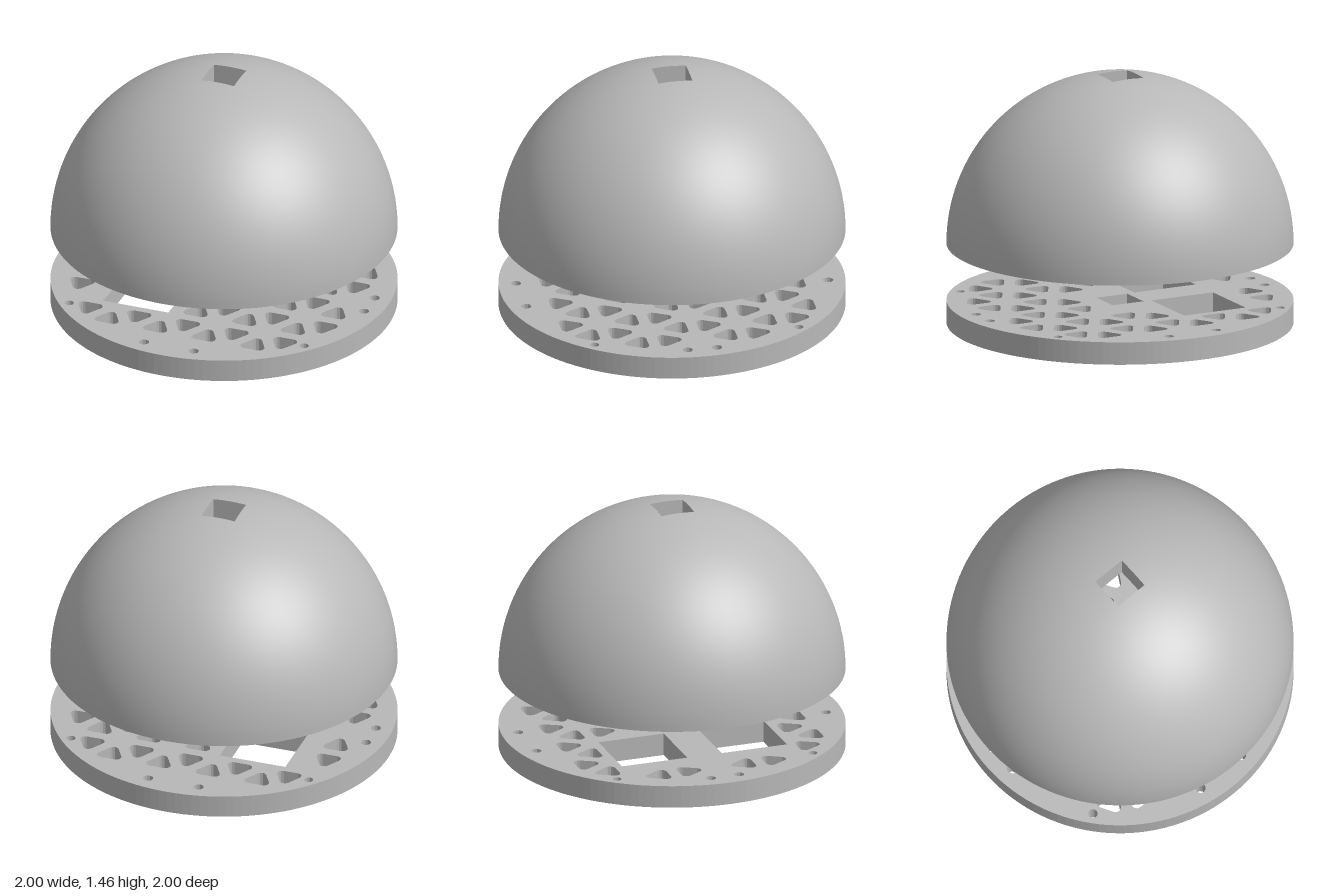
import * as THREE from 'three';
import { mergeVertices } from 'three/addons/utils/BufferGeometryUtils.js';

const grey = new THREE.MeshStandardMaterial({ color: 0xb8b8b8, side: THREE.DoubleSide });
grey.name = 'plain grey';

const SEG = 128;
const SCREW_R = 0.027;
const screws = [[0.725, 0.6], [-0.725, 0.6], [0.725, -0.6], [-0.725, -0.6]];

function add(group, name, geometry, y = 0) {
  const mesh = new THREE.Mesh(geometry, grey);
  mesh.name = name;
  mesh.position.y = y;
  group.add(mesh);
  return mesh;
}

function circle(x, y, r, n) {
  const pts = [];
  for (let i = 0; i < n; i++) {
    const a = (i / n) * Math.PI * 2;
    pts.push(new THREE.Vector2(x + r * Math.cos(a), y + r * Math.sin(a)));
  }
  return pts;
}

function square(x, y, half) {
  return [[-1, -1], [1, -1], [1, 1], [-1, 1]].map(([a, b]) => new THREE.Vector2(x + a * half, y + b * half));
}

// Triangle with rounded corners, one corner pointing along +y or -y
function roundedTriangle(x, y, up) {
  const pts = [];
  for (let k = 0; k < 3; k++) {
    const dir = (up ? 1 : -1) * Math.PI / 2 + (k * Math.PI * 2) / 3;
    for (let s = -2; s <= 2; s++) {
      const a = dir + (s * Math.PI) / 6;
      pts.push(new THREE.Vector2(
        x + 0.05 * Math.cos(dir) + 0.03 * Math.cos(a),
        y + 0.05 * Math.sin(dir) + 0.03 * Math.sin(a)));
    }
  }
  return pts;
}

// Surface around the y axis; profile(angle, v) gives [radius, height], v running downwards
function around(profile, rows, flat = false) {
  const pos = [], index = [];
  for (let j = 0; j <= rows; j++) {
    for (let i = 0; i < SEG; i++) {
      const a = (i / SEG) * Math.PI * 2;
      const [r, y] = profile(a, j / rows);
      pos.push(r * Math.sin(a), y, r * Math.cos(a));
    }
  }
  for (let j = 0; j < rows; j++) {
    for (let i = 0; i < SEG; i++) {
      const a = j * SEG + i, b = j * SEG + (i + 1) % SEG;
      index.push(a, a + SEG, b, b, a + SEG, b + SEG);
    }
  }
  let g = new THREE.BufferGeometry();
  g.setAttribute('position', new THREE.Float32BufferAttribute(pos, 3));
  g.setIndex(index);
  g = flat ? g.toNonIndexed() : mergeVertices(g);
  g.computeVertexNormals();
  return g;
}

// Reverse the facing of a surface
function inward(g) {
  const ix = g.index.array;
  for (let i = 0; i < ix.length; i += 3) [ix[i + 1], ix[i + 2]] = [ix[i + 2], ix[i + 1]];
  g.computeVertexNormals();
  return g;
}

function makeDome() {
  const dome = new THREE.Group();
  dome.name = 'dome';
  dome.position.y = 0.47;
  const WALL_R = 0.8, WALL_H = 0.56, APEX = 0.8;
  const squareR = (a) => 0.1 / Math.max(Math.abs(Math.cos(a)), Math.abs(Math.sin(a)));
  const outerY = (r) => Math.sqrt(Math.max(0, 1 - r * r));

  // Shallow spherical ceiling of the cavity
  const rise = APEX - WALL_H;
  const capR = (WALL_R * WALL_R + rise * rise) / (2 * rise);
  const ceilingY = (r) => APEX - capR + Math.sqrt(capR * capR - r * r);

  add(dome, 'domeShell', around((a, v) => {
    const t0 = Math.asin(squareR(a));
    const t = t0 + (Math.PI / 2 - t0) * v;
    return [Math.sin(t), Math.cos(t)];
  }, 48));
  add(dome, 'domeCeiling', inward(around((a, v) => {
    const r = squareR(a) + (WALL_R - squareR(a)) * v;
    return [r, ceilingY(r)];
  }, 16)));
  add(dome, 'domeInnerWall', inward(around((a, v) => [WALL_R, WALL_H * (1 - v)], 1)));

  // Square opening at the crown
  add(dome, 'crownOpening', around((a, v) => {
    const r = squareR(a);
    return [r, ceilingY(r) + (outerY(r) - ceilingY(r)) * v];
  }, 1, true));

  // Flat underside with four screw sockets
  const ring = new THREE.Shape(circle(0, 0, 1, SEG));
  ring.holes.push(new THREE.Path(circle(0, 0, WALL_R, SEG)));
  for (const [x, z] of screws) {
    ring.holes.push(new THREE.Path(circle(x, z, SCREW_R, 16)));
    const socket = add(dome, 'screwSocket', new THREE.LatheGeometry(
      [[0, 0.15], [SCREW_R, 0.15], [SCREW_R, 0.15], [SCREW_R, 0]].map(([r, y]) => new THREE.Vector2(r, y)), 16));
    socket.position.set(x, 0, z);
  }
  add(dome, 'domeUnderside', new THREE.ShapeGeometry(ring).rotateX(Math.PI / 2));
  return dome;
}

function makeBase() {
  const disc = new THREE.Shape(circle(0, 0, 1, SEG));
  const cut = (pts) => disc.holes.push(new THREE.Path(pts));

  // Square openings and screw holes
  const squares = [[0, 0, 0.1], [-0.35, 0.305, 0.2], [-0.35, -0.305, 0.2]];
  squares.forEach(([x, y, h]) => cut(square(x, y, h)));
  screws.forEach(([x, y]) => cut(circle(x, y, SCREW_R, 16)));

  // Triangular lattice of lightening holes
  const A = 0.3, H = A * Math.sqrt(3) / 2;
  for (let j = -4; j < 4; j++) {
    for (let k = -7; k <= 7; k++) {
      const up = (k + j) % 2 === 0;
      const x = (k * A) / 2, y = j * H + (up ? H / 3 : (2 * H) / 3);
      const r = Math.hypot(x, y);
      const nearSquare = squares.some(([sx, sy, h]) => Math.max(Math.abs(x - sx), Math.abs(y - sy)) < h + 0.085);
      const nearScrew = screws.some(([sx, sy]) => Math.hypot(x - sx, y - sy) < 0.12);
      if (nearSquare || nearScrew || r > 0.94) continue;
      const tri = roundedTriangle(x, y, up);
      if (tri.every((p) => p.length() < 0.95)) cut(tri);
      else cut(circle(x * 0.9 / r, y * 0.9 / r, 0.03, 12));
    }
  }
  const g = new THREE.ExtrudeGeometry(disc, { depth: 0.133, bevelEnabled: false, curveSegments: 1 });
  return g.rotateX(-Math.PI / 2);
}

export function createModel() {
  const model = new THREE.Group();
  model.name = 'domeAndBase';
  add(model, 'perforatedBase', makeBase());
  model.add(makeDome());
  return model;
}
